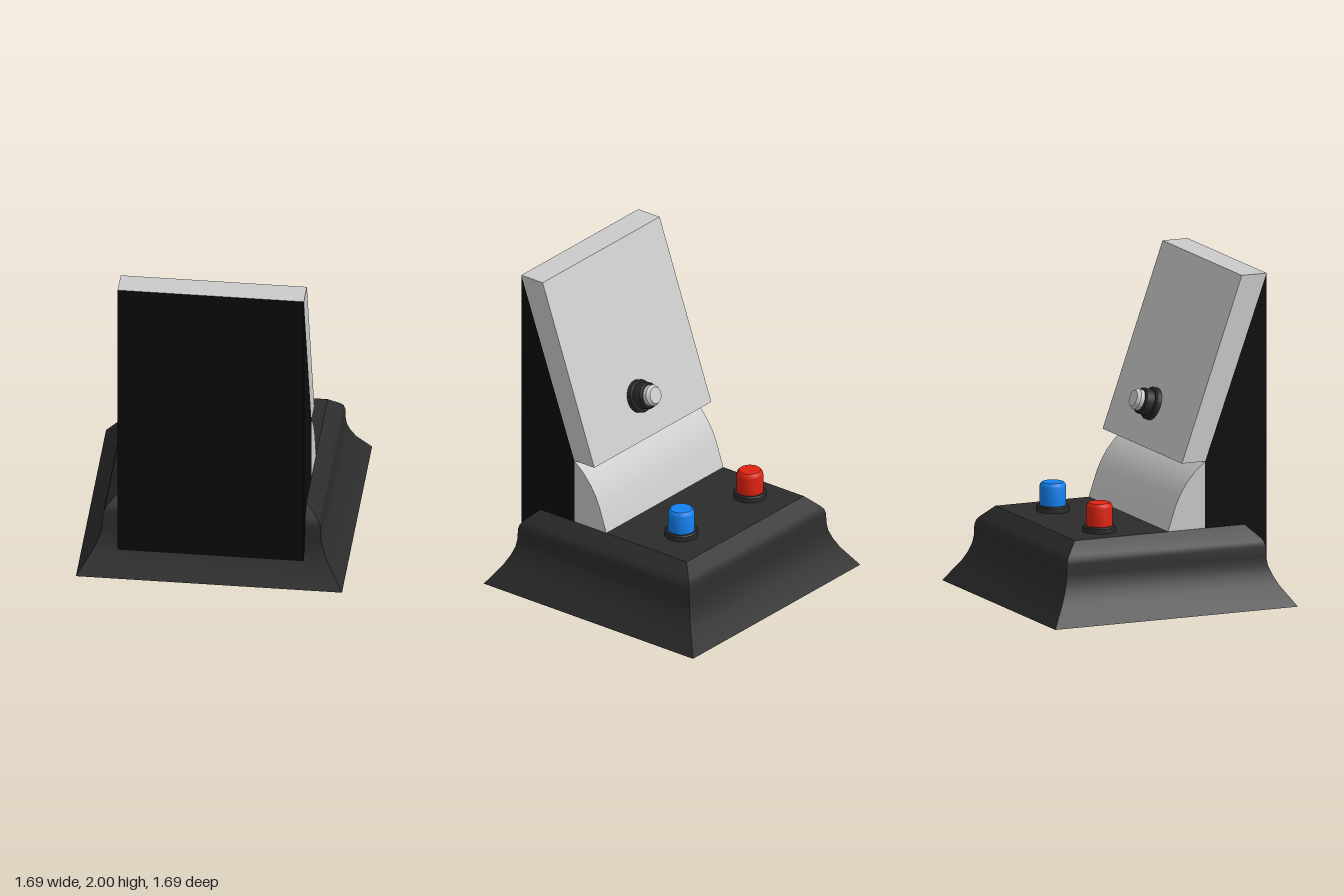
import * as THREE from 'three';
import { toCreasedNormals } from 'three/addons/utils/BufferGeometryUtils.js';

const material = (color) => new THREE.MeshStandardMaterial({ color });
const GREY = material(0xcccccc);
const DARK = material(0x2c2c2c);
const BLACK = material(0x0c0c0c);
const RED = material(0xdd2211);
const BLUE = material(0x1480ee);
const WIDTH = 1.12;

function part(name, geometry, mat) {
  const mesh = new THREE.Mesh(toCreasedNormals(geometry, 0.5), mat);
  mesh.name = name;
  return mesh;
}

// Turns [radius, height] pairs around y
function turned(name, profile, mat, sides = 32) {
  const points = profile.map(([r, y]) => new THREE.Vector2(r, y));
  return part(name, new THREE.LatheGeometry(points, sides), mat);
}

// Extrudes a [z, y] outline across the width of the stand
function slab(name, outline, mat) {
  const shape = new THREE.Shape(outline.map(([z, y]) => new THREE.Vector2(z, y)));
  const geometry = new THREE.ExtrudeGeometry(shape, { depth: WIDTH, bevelEnabled: false });
  geometry.translate(0, 0, -WIDTH / 2).rotateY(-Math.PI / 2);
  return part(name, geometry, mat);
}

// Push button: wide collar with a bevelled cap
function pushButton(name, color, x, z) {
  const button = new THREE.Group();
  button.name = name;
  button.add(
    turned('buttonCollar', [[0, 0], [0.1, 0], [0.1, 0.03], [0.092, 0.037], [0, 0.037]], DARK),
    turned('buttonCap', [[0, 0.03], [0.08, 0.03], [0.08, 0.15], [0.076, 0.163], [0.065, 0.175], [0, 0.175]], color),
  );
  button.position.set(x, 0.478, z);
  return button;
}

export function createModel() {
  const model = new THREE.Group();
  model.name = 'displayStand';

  // Square moulded base: a four-sided turning
  const halfWidths = [
    [0, 0], [0.8, 0], [0.715, 0.125], [0.685, 0.185], [0.665, 0.24], [0.657, 0.29],
    [0.655, 0.355], [0.647, 0.385], [0.63, 0.408], [0.56, 0.478], [0, 0.478],
  ];
  const base = turned('base', halfWidths.map(([r, y]) => [r * Math.SQRT2, y]), DARK, 4);
  base.rotation.y = Math.PI / 4;
  model.add(base);

  // Upright support, sloping panel and curved foot
  model.add(
    slab('support', [[0.705, 0.145], [0.705, 2], [0.3, 0.886], [0.3, 0.145]], BLACK),
    slab('panel', [[0.705, 2], [0.542, 2], [0.147, 0.886], [0.3, 0.886]], GREY),
    slab('curvedFoot', [
      [0.3, 0.47], [0.3, 0.885], [0.23, 0.825], [0.175, 0.76],
      [0.135, 0.695], [0.108, 0.635], [0.052, 0.47],
    ], GREY),
  );

  model.add(
    pushButton('redButton', RED, -0.363, -0.306),
    pushButton('blueButton', BLUE, 0.294, -0.306),
  );

  // Knob standing square to the panel
  const knob = new THREE.Group();
  knob.name = 'panelKnob';
  knob.add(
    turned('knobCollar', [[0, 0], [0.1, 0], [0.1, 0.028], [0.092, 0.037], [0, 0.037]], DARK),
    turned('knobBody', [[0, 0.03], [0.08, 0.03], [0.08, 0.088], [0.072, 0.096], [0, 0.096]], DARK),
    turned('knobCap', [[0, 0.09], [0.064, 0.09], [0.064, 0.122], [0.05, 0.142], [0, 0.142]], GREY),
  );
  knob.position.set(0.03, 1.13, 0.234);
  knob.rotation.x = -Math.atan2(1.114, 0.395);
  model.add(knob);

  // The whole stand sits slightly turned
  model.rotation.y = -0.056;
  const root = new THREE.Group();
  root.add(model);
  return root;
}
